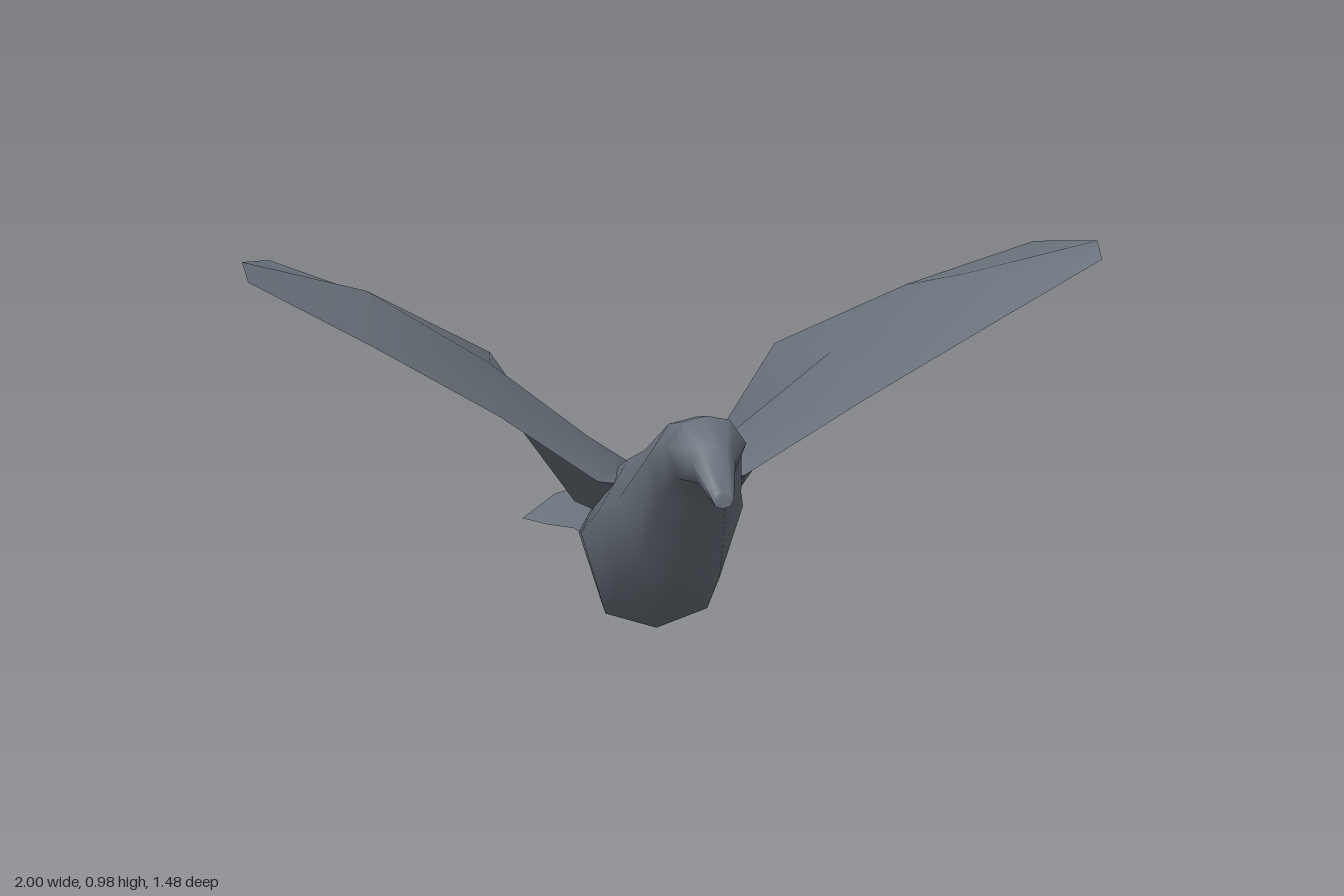
import * as THREE from 'three';
import { toCreasedNormals } from 'three/addons/utils/BufferGeometryUtils.js';

// Skin a list of equal-length rings of [x, y, z] points and cap both ends
function loft(rings, flip, crease) {
  const n = rings[0].length, index = [];
  const tri = (a, b, c) => index.push(...(flip ? [a, c, b] : [a, b, c]));
  for (let i = 0; i < rings.length - 1; i++) {
    for (let j = 0; j < n; j++) {
      const a = i * n + j, b = i * n + (j + 1) % n;
      tri(a, b, a + n);
      tri(b, b + n, a + n);
    }
  }
  const last = (rings.length - 1) * n;
  for (let j = 1; j < n - 1; j++) {
    tri(0, j + 1, j);
    tri(last, last + j, last + j + 1);
  }
  const g = new THREE.BufferGeometry();
  g.setAttribute('position', new THREE.Float32BufferAttribute(rings.flat(2), 3));
  g.setIndex(index);
  return toCreasedNormals(g, crease);
}

// Body cross-section: half outline as fractions of half width and height
const OUTLINE = [[0, 1], [0.58, 0.93], [1, 0.58], [0.68, 0.1], [0, 0]];
function bodyRing([z, top, bottom, w, droop = 0, sweep = 0]) {
  const point = (u, v) => [u * w, bottom + v * (top - bottom) - droop * u * u, z + sweep * u * u];
  return [
    ...OUTLINE.map(([u, v]) => point(u, v)),
    ...OUTLINE.slice(1, 4).reverse().map(([u, v]) => point(-u, v)),
  ];
}

export function createModel() {
  const model = new THREE.Group();
  model.name = 'bird';
  const plumage = new THREE.MeshStandardMaterial({ color: 0x68707a });
  plumage.name = 'slate grey plumage';

  const add = (name, geometry) => {
    const mesh = new THREE.Mesh(geometry, plumage);
    mesh.name = name;
    model.add(mesh);
  };

  // Beak, head, breast, belly, rump: z, top, bottom, half width
  const bodySections = [
    [0.735, 0.505, 0.47, 0.024],
    [0.64, 0.593, 0.497, 0.05],
    [0.565, 0.643, 0.486, 0.092],
    [0.455, 0.62, 0.42, 0.108],
    [0.29, 0.535, 0.212, 0.147],
    [0.18, 0.495, 0.13, 0.178],
    [0.01, 0.435, 0.0, 0.19],
    [-0.14, 0.37, 0.006, 0.17],
    [-0.28, 0.285, 0.012, 0.13],
    [-0.4, 0.192, 0.042, 0.086],
  ];
  // Fanned tail: adds edge droop and edge sweep
  const tailSections = [
    [-0.4, 0.192, 0.042, 0.086],
    [-0.5, 0.184, 0.115, 0.122, 0.015],
    [-0.6, 0.193, 0.155, 0.18, 0.045, 0.01],
    [-0.74, 0.214, 0.2, 0.236, 0.075, 0.07],
  ];
  const body = bodySections.map(bodyRing), tail = tailSections.map(bodyRing);
  add('body', loft(body, false, 1.1));
  add('tail', loft(tail, false, 1.1));

  // Wing stations from root to tip: leading edge, upper crest, trailing edge, underside
  const wing = [
    [[0.08, 0.40, 0.17], [0.06, 0.42, 0.02], [0.05, 0.27, -0.24], [0.10, 0.28, 0]],
    [[0.18, 0.42, 0.19], [0.18, 0.505, 0.07], [0.13, 0.30, -0.25], [0.203, 0.33, 0]],
    [[0.43, 0.61, 0.31], [0.42, 0.695, 0.08], [0.37, 0.66, -0.28], [0.415, 0.63, 0.01]],
    [[0.72, 0.79, 0.365], [0.715, 0.89, 0.18], [0.66, 0.83, -0.09], [0.70, 0.80, 0.14]],
    [[0.99, 0.945, 0.388], [1.0, 0.983, 0.33], [0.93, 0.955, 0.09], [0.97, 0.945, 0.24]],
  ];
  for (const [name, s] of [['leftWing', 1], ['rightWing', -1]]) {
    const rings = wing.map((ring) => ring.map(([x, y, z]) => [s * x, y, z]));
    add(name, loft(rings, s > 0, 1.1));
  }
  return model;
}
